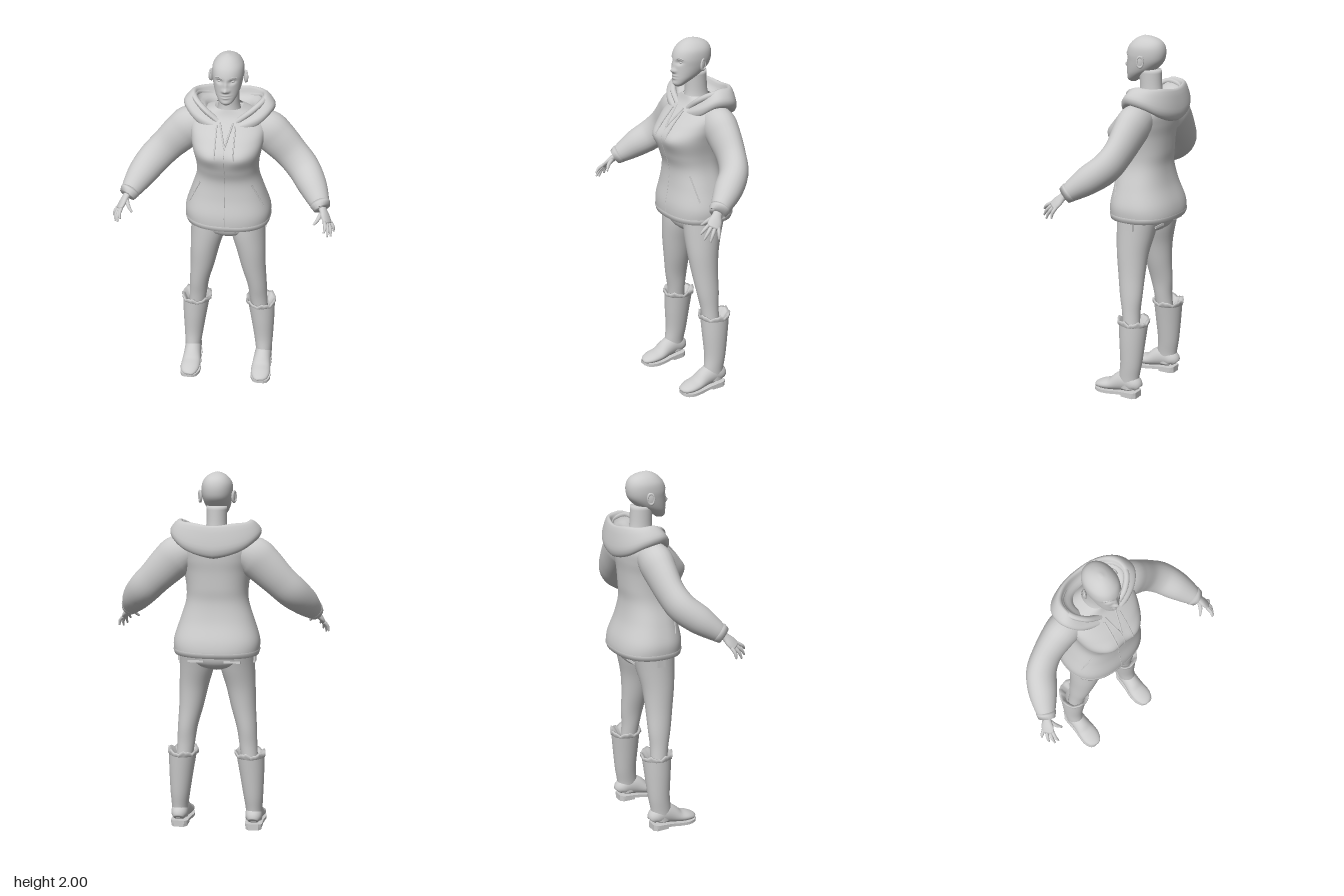
import * as THREE from 'three';

const grey = new THREE.MeshStandardMaterial({ color: 0xcccccc, side: THREE.DoubleSide });
grey.name = 'light grey';
const V = (x, y, z) => new THREE.Vector3(x, y, z);

// Catmull-Rom interpolation of rows of numbers
function smooth(rows, n) {
  const at = (i) => rows[Math.min(rows.length - 1, Math.max(0, i))];
  return Array.from({ length: n + 1 }, (_, k) => {
    const f = (k / n) * (rows.length - 1), i = Math.min(rows.length - 2, Math.floor(f)), t = f - i;
    return rows[0].map((_, c) => {
      const [a, b, d, e] = [at(i - 1)[c], at(i)[c], at(i + 1)[c], at(i + 2)[c]];
      return b + 0.5 * t * (d - a + t * (2 * a - 5 * b + 4 * d - e + t * (3 * (b - d) + e - a)));
    });
  });
}

// skin over closed rings of points, with optional end caps
function loft(rings, capStart = true, capEnd = true) {
  const m = rings[0].length, pos = rings.flat().flatMap((p) => [p.x, p.y, p.z]), idx = [];
  for (let r = 0; r < rings.length - 1; r++) for (let i = 0; i < m; i++) {
    const a = r * m + i, b = r * m + (i + 1) % m;
    idx.push(a, a + m, b, b, a + m, b + m);
  }
  const cap = (r, flip) => {
    const c = rings[r].reduce((s, p) => s.add(p), V(0, 0, 0)).divideScalar(m), k = pos.length / 3;
    pos.push(c.x, c.y, c.z);
    for (let i = 0; i < m; i++) {
      const a = r * m + i, b = r * m + (i + 1) % m;
      idx.push(k, flip ? b : a, flip ? a : b);
    }
  };
  if (capStart) cap(0, false);
  if (capEnd) cap(rings.length - 1, true);
  const g = new THREE.BufferGeometry();
  g.setAttribute('position', new THREE.Float32BufferAttribute(pos, 3));
  g.setIndex(idx);
  g.computeVertexNormals();
  return g;
}

const pw = (v, e) => Math.sign(v) * Math.pow(Math.abs(v), e);
const angles = (m) => Array.from({ length: m }, (_, i) => (i / m) * Math.PI * 2);

// horizontal rings from rows of [y, centre x, half width, front z, back z]
const stack = (rows, m = 32, n = 2) => rows.map(([y, cx, rx, zf, zb]) => angles(m).map((a) =>
  V(cx + rx * pw(Math.cos(a), 2 / n), y, (zf + zb) / 2 + ((zf - zb) / 2) * pw(Math.sin(a), 2 / n))));

// rings across a path from rows of [x, y, z, half thickness, half width along ref]
function limb(rows, ref, m = 24) {
  const p = rows.map((r) => V(r[0], r[1], r[2]));
  return rows.map((r, i) => {
    const t = p[Math.min(i + 1, p.length - 1)].clone().sub(p[Math.max(i - 1, 0)]).normalize();
    const v = ref.clone().addScaledVector(t, -ref.dot(t)).normalize(), u = t.clone().cross(v);
    return angles(m).map((a) => p[i].clone().addScaledVector(u, r[3] * Math.cos(a)).addScaledVector(v, r[4] * Math.sin(a)));
  });
}

function mirrored(geo) {
  const g = geo.clone().scale(-1, 1, 1), ix = g.index.array;
  for (let i = 0; i < ix.length; i += 3) [ix[i], ix[i + 1]] = [ix[i + 1], ix[i]];
  g.computeVertexNormals();
  return g;
}

// push the front of a geometry along z by soft bumps [x, y, widthX, widthY, amount]
function bumps(g, list, zMin) {
  const p = g.attributes.position;
  for (let i = 0; i < p.count; i++) {
    if (p.getZ(i) < zMin) continue;
    const k = Math.min(1, (p.getZ(i) - zMin) / 0.03);
    let z = p.getZ(i);
    for (const [x, y, sx, sy, d] of list) z += k * d * Math.exp(-(((p.getX(i) - x) / sx) ** 2) - ((p.getY(i) - y) / sy) ** 2);
    p.setZ(i, z);
  }
  g.computeVertexNormals();
  return g;
}

export function createModel() {
  const model = new THREE.Group();
  const add = (name, geo) => {
    const mesh = new THREE.Mesh(geo, grey);
    mesh.name = name;
    model.add(mesh);
  };
  const pair = (name, geo) => { add('left ' + name, geo); add('right ' + name, mirrored(geo)); };
  const ball = (x, y, z, a, b, c) => new THREE.SphereGeometry(1, 20, 14).scale(a, b, c).translate(x, y, z);

  // head with modelled face
  const head = loft(stack(smooth([
    [1.748, 0, 0.018, 0.058, 0.02], [1.762, 0, 0.036, 0.067, 0], [1.79, 0, 0.056, 0.068, -0.05],
    [1.82, 0, 0.069, 0.068, -0.1], [1.86, 0, 0.079, 0.068, -0.14], [1.9, 0, 0.084, 0.068, -0.153],
    [1.94, 0, 0.08, 0.055, -0.15], [1.97, 0, 0.062, 0.03, -0.132], [1.99, 0, 0.036, 0.0, -0.095], [2.0, 0, 0.006, -0.03, -0.05],
  ], 60), 64, 2.15));
  add('head', bumps(head, [
    [0, 1.835, 0.011, 0.012, 0.02], [0, 1.86, 0.008, 0.022, 0.01], [0.014, 1.831, 0.008, 0.008, 0.008], [-0.014, 1.831, 0.008, 0.008, 0.008],
    [0.034, 1.882, 0.018, 0.011, -0.014], [-0.034, 1.882, 0.018, 0.011, -0.014],
    [0, 1.806, 0.02, 0.005, 0.007], [0, 1.793, 0.018, 0.006, 0.007], [0, 1.8, 0.022, 0.003, -0.004], [0, 1.765, 0.02, 0.012, 0.004],
  ], 0));
  pair('eye', ball(0.034, 1.881, 0.041, 0.013, 0.009, 0.012));
  pair('eyebrow', new THREE.TubeGeometry(new THREE.CatmullRomCurve3([V(0.016, 1.898, 0.063), V(0.036, 1.906, 0.056), V(0.056, 1.899, 0.042)]), 12, 0.004, 6));
  const ear = ball(0, 0, 0, 0.008, 0.034, 0.02).rotateY(0.4).rotateX(-0.15).translate(0.089, 1.868, -0.058);
  pair('ear', ear);
  pair('ear rim', new THREE.TorusGeometry(0.02, 0.005, 8, 20).scale(0.85, 1.4, 1).rotateY(Math.PI / 2 + 0.4).translate(0.094, 1.868, -0.058));
  add('neck', loft(stack(smooth([[1.58, 0, 0.09, 0.03, -0.17], [1.66, 0, 0.066, 0.0, -0.15], [1.72, 0, 0.056, -0.01, -0.135], [1.82, 0, 0.056, -0.005, -0.13]], 12))));

  // hooded top body, open at the hem
  const body = smooth([
    [1.015, 0, 0.228, 0.12, -0.235], [1.04, 0, 0.236, 0.126, -0.245], [1.1, 0, 0.235, 0.124, -0.235],
    [1.2, 0, 0.203, 0.105, -0.198], [1.3, 0, 0.172, 0.1, -0.18], [1.38, 0, 0.17, 0.125, -0.185],
    [1.47, 0, 0.186, 0.15, -0.19], [1.54, 0, 0.2, 0.11, -0.198], [1.6, 0, 0.2, 0.055, -0.198],
    [1.65, 0, 0.155, 0.012, -0.18], [1.69, 0, 0.075, -0.005, -0.15],
  ], 60);
  add('top body', bumps(loft(stack(body, 64, 2.4), false, false), [
    [0.085, 1.475, 0.06, 0.05, 0.012], [-0.085, 1.475, 0.06, 0.05, 0.012], [0, 1.48, 0.03, 0.06, -0.005],
  ], 0));
  const front = (x, y) => {
    const i = body.findIndex((r) => r[0] >= y), [a, b] = [body[i - 1], body[i]], t = (y - a[0]) / (b[0] - a[0]);
    const [rx, zf, zb] = [2, 3, 4].map((c) => a[c] + (b[c] - a[c]) * t);
    return V(x, y, (zf + zb) / 2 + ((zf - zb) / 2) * Math.pow(Math.max(0, 1 - Math.abs(x / rx) ** 2.4), 1 / 2.4));
  };
  const seam = (x0, y0, x1, y1, r, lift = 0) => new THREE.TubeGeometry(new THREE.CatmullRomCurve3(
    Array.from({ length: 9 }, (_, i) => front(x0 + (x1 - x0) * i / 8, y0 + (y1 - y0) * i / 8).add(V(0, 0, lift)))), 24, r, 6);
  pair('pocket opening', seam(0.14, 1.28, 0.205, 1.14, 0.004));
  pair('neck placket', seam(0.035, 1.63, 0.002, 1.53, 0.005));
  pair('drawstring', seam(0.05, 1.62, 0.05, 1.47, 0.004, 0.007));
  add('front seam', seam(0, 1.53, 0, 1.03, 0.002));
  add('hem band', loft(stack([[1.014, 0, 0.224, 0.116, -0.231], [1.012, 0, 0.232, 0.124, -0.239], [1.035, 0, 0.239, 0.129, -0.248], [1.045, 0, 0.235, 0.124, -0.243]], 64, 2.4), false, false));

  // draped hood: cross-sections around the neck, front to back
  const hoodRows = smooth([
    [1.62, 1.6, 1.56], [1.67, 1.645, 1.6], [1.735, 1.7, 1.655], [1.745, 1.69, 1.64], [1.735, 1.65, 1.59], [1.725, 1.625, 1.56],
  ], 32);
  const hoodRings = angles(64).map((a, i) => {
    const [top, out, low] = hoodRows[i <= 32 ? i : 64 - i], s = Math.sin(a), c = Math.cos(a);
    const w = 0.007 * Math.sin(3 * a) ** 2;
    return smooth([[0.42, 1.6], [0.5, top - 0.07], [0.68, top - 0.035], [0.76, top + w], [0.88, top - 0.006], [1, out], [0.98, (out + low) / 2 - 0.01], [0.88, low], [0.6, low - 0.01]], 24)
      .map(([f, y]) => V(f * 0.245 * pw(s, 0.9), y, -0.1 + f * (c > 0 ? 0.14 : 0.157) * pw(c, 0.9)));
  });
  add('hood', loft([...hoodRings, hoodRings[0]], false, false));
  pair('hood fold', new THREE.TubeGeometry(new THREE.CatmullRomCurve3([
    V(0.05, 1.63, 0.01), V(0.13, 1.69, -0.01), V(0.185, 1.728, -0.07), V(0.17, 1.715, -0.155), V(0.09, 1.69, -0.21), V(0, 1.675, -0.225)]), 40, 0.016, 10));

  // sleeves, cuffs and hands
  pair('sleeve', loft(limb(smooth([
    [0.12, 1.585, -0.09, 0.075, 0.075], [0.2, 1.555, -0.088, 0.108, 0.088], [0.26, 1.505, -0.085, 0.106, 0.082],
    [0.34, 1.425, -0.075, 0.094, 0.072], [0.41, 1.355, -0.042, 0.09, 0.075], [0.465, 1.295, 0.03, 0.08, 0.075],
    [0.508, 1.24, 0.1, 0.059, 0.056], [0.525, 1.22, 0.128, 0.044, 0.044],
  ], 36), V(0, 0, 1))));
  pair('cuff', loft(limb([[0.512, 1.237, 0.108, 0.05, 0.05], [0.518, 1.228, 0.118, 0.055, 0.054], [0.53, 1.212, 0.138, 0.046, 0.046], [0.529, 1.214, 0.136, 0.03, 0.03]], V(0, 0, 1))));
  const spread = V(0.05, -0.03, -0.085).normalize();
  pair('palm', loft(limb(smooth([[0.518, 1.235, 0.115, 0.022, 0.024], [0.536, 1.205, 0.145, 0.018, 0.025], [0.552, 1.178, 0.168, 0.016, 0.036], [0.567, 1.152, 0.19, 0.011, 0.034]], 12), spread, 16)));
  const tips = [[0.549, 1.128, 0.255], [0.567, 1.1, 0.245], [0.585, 1.089, 0.218], [0.6, 1.098, 0.175]];
  const finger = (a, b, r) => {
    const mid = a.clone().lerp(b, 0.55).add(V(0.006, 0.004, 0.003));
    return loft(limb(smooth([[...a, r, r], [...mid, r * 0.95, r * 0.95], [...b, r * 0.5, r * 0.5]], 8), spread, 10));
  };
  tips.forEach((t, i) => pair('finger ' + (i + 1), finger(V(0.562, 1.16, 0.184).addScaledVector(spread, (i - 1.5) * 0.018), V(...t), 0.0095)));
  pair('thumb', finger(V(0.53, 1.2, 0.155), V(0.492, 1.15, 0.213), 0.011));

  // trousers
  add('trouser seat', loft(stack(smooth([[0.92, 0, 0.03, 0.02, -0.1], [0.95, 0, 0.14, 0.055, -0.165], [1.0, 0, 0.205, 0.07, -0.19], [1.08, 0, 0.205, 0.075, -0.185], [1.15, 0, 0.17, 0.06, -0.15]], 16), 40, 2.3)));
  pair('trouser leg', loft(stack(smooth([
    [0.36, 0.19, 0.045, -0.015, -0.11], [0.48, 0.177, 0.05, -0.002, -0.105], [0.58, 0.167, 0.056, 0.018, -0.112], [0.7, 0.147, 0.069, 0.038, -0.116],
    [0.82, 0.131, 0.082, 0.055, -0.128], [0.93, 0.114, 0.096, 0.064, -0.155], [1.02, 0.11, 0.098, 0.066, -0.18],
  ], 30))));
  pair('back pocket flap', new THREE.BoxGeometry(0.09, 0.012, 0.006).rotateX(0.15).translate(0.1, 0.985, -0.187));
  pair('waist loop', new THREE.BoxGeometry(0.025, 0.04, 0.05).translate(0.203, 0.985, -0.06));

  // boots with a loose, uneven rim
  pair('boot shaft', loft(stack(smooth([
    [0.05, 0.212, 0.046, 0.0, -0.12], [0.11, 0.212, 0.047, 0.0, -0.12], [0.2, 0.208, 0.056, -0.008, -0.135],
    [0.33, 0.2, 0.069, 0, -0.15], [0.44, 0.191, 0.079, 0.006, -0.162],
  ], 24)), false, false));
  const rim = stack([[0.425, 0.191, 0.078, 0.004, -0.16], [0.438, 0.189, 0.087, 0.015, -0.168], [0.455, 0.189, 0.087, 0.014, -0.17], [0.45, 0.188, 0.073, 0.0, -0.155], [0.41, 0.186, 0.058, -0.01, -0.13]], 40);
  rim.forEach((ring, r) => ring.forEach((p, i) => { if (r) p.y += 0.007 * Math.sin(i * 0.94) + 0.004 * Math.sin(i * 2.2); }));
  pair('boot rim', loft(rim, false, false));
  const foot = smooth([
    [-0.12, 0.212, 0.028, 0.03, 0.08], [-0.1, 0.212, 0.045, 0.028, 0.12], [-0.05, 0.211, 0.048, 0.025, 0.145], [0, 0.209, 0.05, 0.02, 0.125],
    [0.05, 0.208, 0.055, 0.014, 0.085], [0.1, 0.21, 0.055, 0.012, 0.068], [0.14, 0.212, 0.04, 0.014, 0.05], [0.156, 0.214, 0.018, 0.018, 0.036],
  ], 28);
  pair('boot foot', loft(limb(foot.map(([z, x, w, a, b]) => [x, (a + b) / 2, z, w, (b - a) / 2]), V(0, 1, 0))));
  // sole and heel share a slab helper
  const slab = (rows) => loft(rows.map(([z, x, w, a, b]) => [V(x + w, a, z), V(x + w, b, z), V(x - w, b, z), V(x - w, a, z)].reverse())).toNonIndexed();
  const indexed = (g) => { g.setIndex([...Array(g.attributes.position.count).keys()]); g.computeVertexNormals(); return g; };
  pair('sole', indexed(slab(foot.map(([z, x, w, a]) => [z, x, w + 0.002, a - 0.011, a + 0.006]))));
  pair('heel', indexed(slab([[-0.12, 0.212, 0.028, 0, 0.03], [-0.1, 0.212, 0.044, 0, 0.03], [-0.03, 0.21, 0.046, 0, 0.026]])));
  return model;
}
